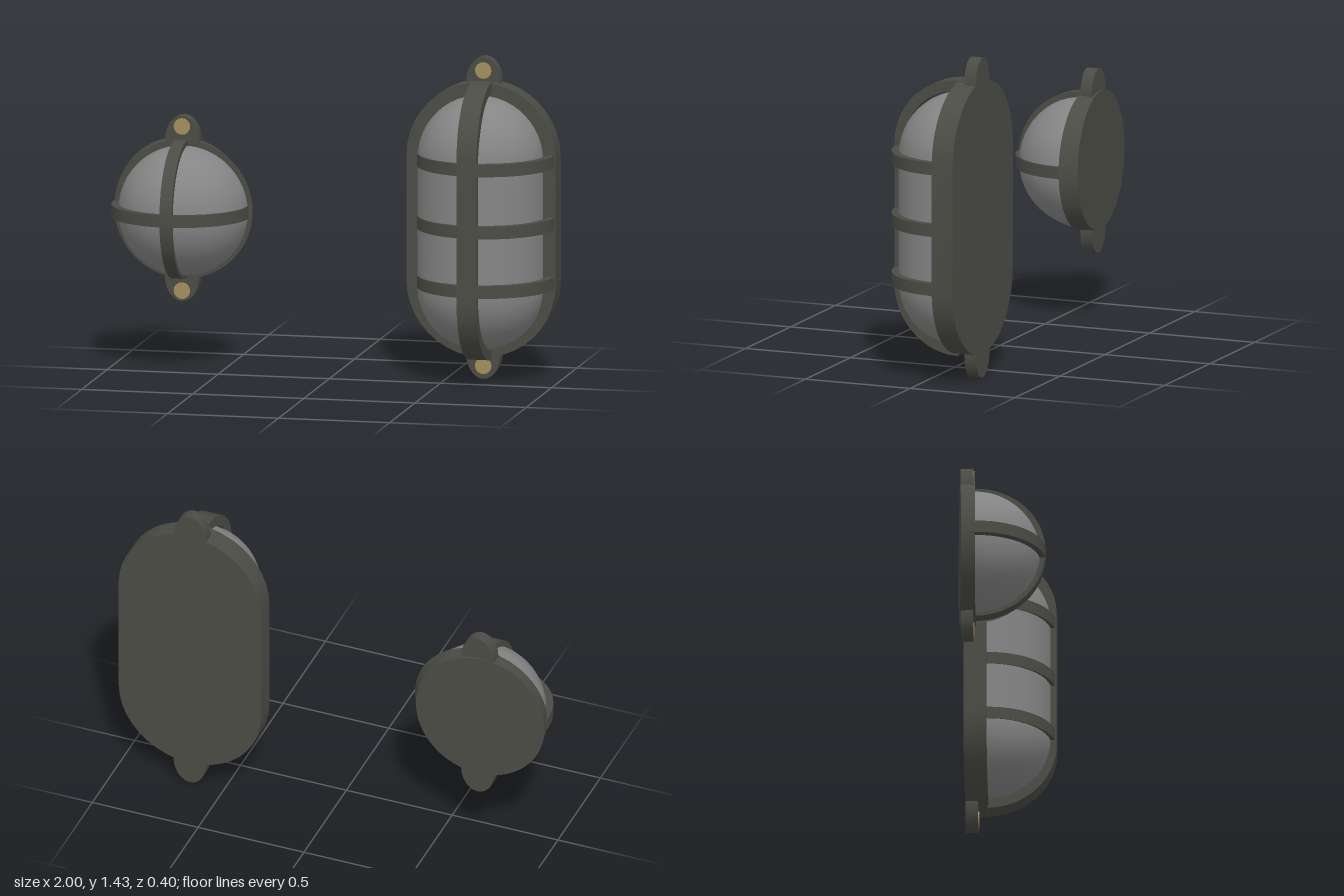
import * as THREE from 'three';
import { toCreasedNormals } from 'three/addons/utils/BufferGeometryUtils.js';

const metal = new THREE.MeshStandardMaterial({ color: 0x4b4c45 });
metal.name = 'dark metal';
const glass = new THREE.MeshStandardMaterial({ color: 0x858585 });
glass.name = 'grey glass';
const brass = new THREE.MeshStandardMaterial({ color: 0xa38f5e });
brass.name = 'brass';

function add(parent, name, geometry, material, x = 0, y = 0, z = 0) {
  const mesh = new THREE.Mesh(geometry, material);
  mesh.name = name;
  mesh.position.set(x, y, z);
  parent.add(mesh);
  return mesh;
}

function extrude(shape, depth, curveSegments) {
  const geo = new THREE.ExtrudeGeometry(shape, { depth, curveSegments, bevelEnabled: false });
  return toCreasedNormals(geo, 0.5);
}

// Upright stadium outline; a circle when half is 0
function stadium(r, half) {
  const s = new THREE.Shape();
  s.absarc(0, half, r, 0, Math.PI);
  s.absarc(0, -half, r, Math.PI, Math.PI * 2);
  s.closePath();
  return s;
}

// Guard bar: a half hoop bulging to +z, with a straight middle of 2 * half
function guardBar(outer, inner, half, width) {
  const s = new THREE.Shape();
  s.moveTo(-0.02, -half - outer);
  s.absarc(0, -half, outer, -Math.PI / 2, 0);
  s.absarc(0, half, outer, 0, Math.PI / 2);
  s.lineTo(-0.02, half + outer);
  s.lineTo(-0.02, half + inner);
  s.absarc(0, half, inner, Math.PI / 2, 0, true);
  s.absarc(0, -half, inner, 0, -Math.PI / 2, true);
  s.lineTo(-0.02, -half - inner);
  const geo = extrude(s, width, 10);
  geo.translate(0, 0, -width / 2);
  geo.rotateY(-Math.PI / 2);
  return geo;
}

// Front half of an upright capsule
function dome(r, half) {
  const pts = [];
  for (const side of [-1, 1]) {
    for (let i = 0; i <= 12; i++) {
      const a = (i / 12) * Math.PI / 2 + (side < 0 ? -Math.PI / 2 : 0);
      if (half === 0 && side > 0 && i === 0) continue;
      pts.push(new THREE.Vector2(Math.max(0, r * Math.cos(a)), side * half + r * Math.sin(a)));
    }
  }
  return new THREE.LatheGeometry(pts, 24, -Math.PI / 2, Math.PI);
}

// Rounded screw lugs above and below, each with a thin brass screw head
function addLugs(lamp, baseY, rise, screwY, back, depth) {
  for (const side of [1, -1]) {
    const s = new THREE.Shape();
    s.absellipse(0, 0, 0.077, rise, 0, Math.PI * 2);
    add(lamp, side > 0 ? 'topLug' : 'bottomLug', extrude(s, depth, 12), metal, 0, side * baseY, back);
    const head = new THREE.CylinderGeometry(0.037, 0.037, 0.008, 16);
    head.rotateX(Math.PI / 2);
    add(lamp, side > 0 ? 'topScrew' : 'bottomScrew', head, brass, 0, side * screwY, back + depth);
  }
}

function longLamp() {
  const lamp = new THREE.Group();
  lamp.name = 'longLamp';
  add(lamp, 'backPlate', extrude(stadium(0.336, 0.276), 0.1, 10), metal, 0, 0, -0.2);
  add(lamp, 'glassCover', dome(0.28, 0.285), glass, 0, -0.01, -0.104);
  add(lamp, 'verticalBar', guardBar(0.302, 0.255, 0.315, 0.09), metal, 0.003, -0.003, -0.102);
  // The cross bars sit a little to one side of the glass
  for (const y of [-0.27, -0.005, 0.272]) {
    const bar = guardBar(0.305, 0.272, 0, 0.055);
    bar.rotateZ(Math.PI / 2);
    add(lamp, 'crossBar', bar, metal, 0.023, y, -0.106);
  }
  addLugs(lamp, 0.605, 0.112, 0.658, -0.2, 0.055);
  lamp.position.set(0.66, 0.715, 0);
  return lamp;
}

function roundLamp() {
  const lamp = new THREE.Group();
  lamp.name = 'roundLamp';
  // Slightly skewed back plate
  const plate = extrude(stadium(0.31, 0), 1, 14);
  const p = plate.attributes.position;
  for (let i = 0; i < p.count; i++) {
    const x = p.getX(i), front = p.getZ(i) > 0.5;
    p.setX(i, front ? x + 0.008 : x * 0.96 - 0.015);
    p.setZ(i, front ? -0.112 - 0.025 * x : -0.18 - 0.05 * x);
  }
  add(lamp, 'backPlate', toCreasedNormals(plate, 0.5), metal);
  add(lamp, 'glassCover', dome(0.288, 0), glass, 0.01, -0.005, -0.112);
  add(lamp, 'verticalBar', guardBar(0.307, 0.265, 0, 0.055), metal, -0.002, 0, -0.11);
  const bar = guardBar(0.305, 0.27, 0, 0.055);
  bar.rotateZ(Math.PI / 2);
  add(lamp, 'crossBar', bar, metal, -0.003, -0.003, -0.108);
  addLugs(lamp, 0.305, 0.108, 0.366, -0.175, 0.055);
  lamp.position.set(-0.69, 0.708, 0);
  return lamp;
}

export function createModel() {
  const model = new THREE.Group();
  model.name = 'bulkheadLamps';
  model.add(longLamp(), roundLamp());
  return model;
}
